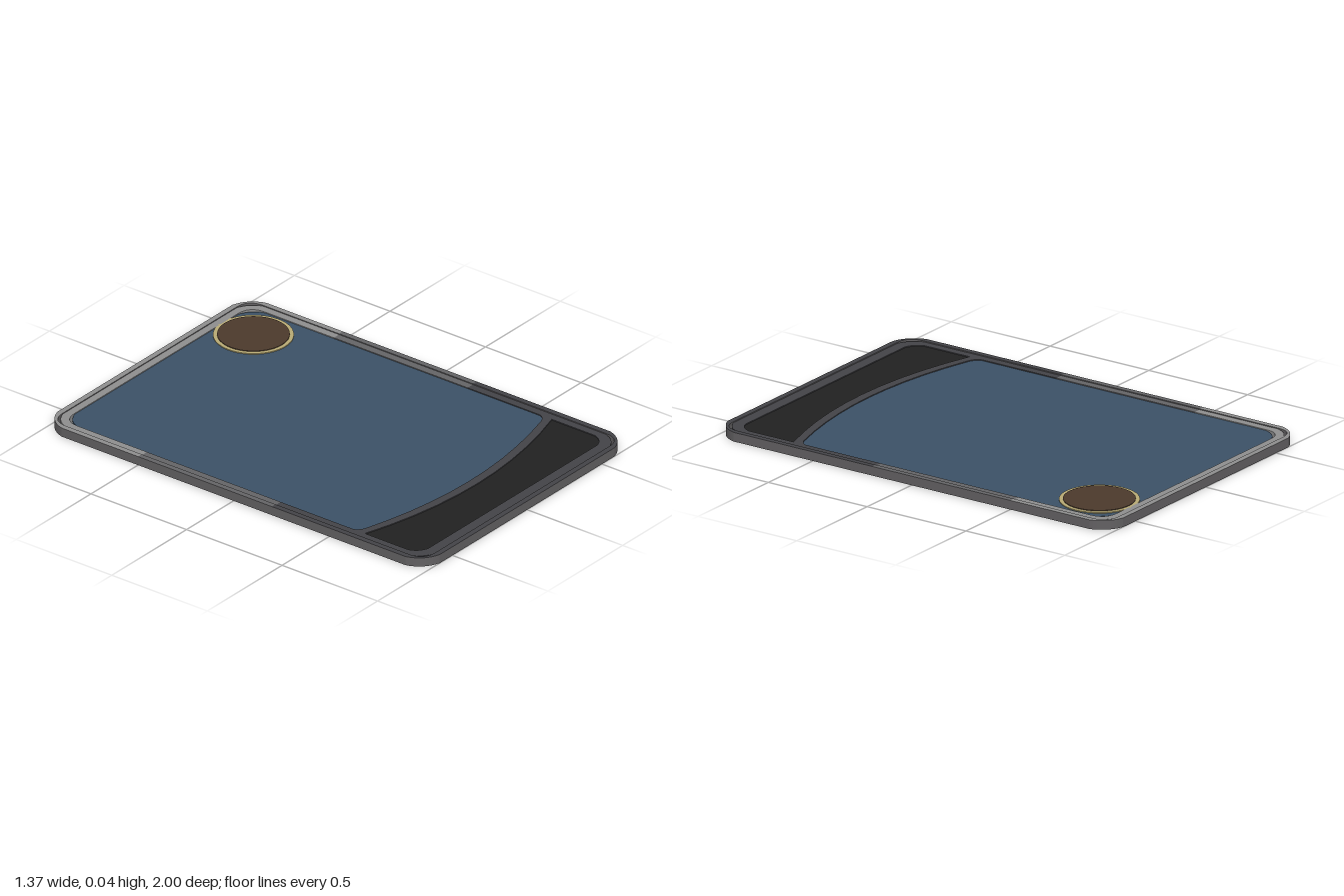
import * as THREE from 'three';

const mat = (name, color) => new THREE.MeshStandardMaterial({ name, color });

export function createModel() {
  const group = new THREE.Group();
  const light = mat('light grey', 0x8e8e8e);
  const mid = mat('mid grey', 0x646466);
  const dark = mat('dark grey', 0x434347);
  const wall = mat('wall grey', 0x626062);
  const blue = mat('slate blue', 0x3c5166);
  const black = mat('black', 0x212121);
  const gold = mat('gold', 0xb8aa74);
  const brown = mat('brown', 0x4b392c);

  // Lays a plan shape (x, -z) flat and gives it a height from y0 to y1
  const slab = (name, shape, y0, y1, material) => {
    const geo = new THREE.ExtrudeGeometry(shape, { depth: y1 - y0, bevelEnabled: false, curveSegments: 10 });
    geo.rotateX(-Math.PI / 2).translate(0, y0, 0);
    const mesh = new THREE.Mesh(geo, material);
    mesh.name = name;
    group.add(mesh);
  };

  // Continues a path around one rounded end, from x = -w to x = w (or back)
  const roundEnd = (p, w, zEnd, r) => {
    const s = Math.sign(zEnd), y = -zEnd;
    p.lineTo(-w, y + s * r);
    p.quadraticCurveTo(-w + r * 0.22, y + s * r * 0.22, -w + r, y);
    p.lineTo(w - r, y);
    p.quadraticCurveTo(w - r * 0.22, y + s * r * 0.22, w, y + s * r);
  };
  const roundEndBack = (p, w, zEnd, r) => roundEnd(p, -w, zEnd, -r) ;

  // U-shaped strip between an outer and an inner rounded end
  const uShape = (zSplit, outer, inner) => {
    const s = Math.sign(outer.z), p = new THREE.Shape();
    p.moveTo(-outer.w, -zSplit);
    roundEnd(p, outer.w, outer.z, outer.r);
    p.lineTo(outer.w, -zSplit);
    p.lineTo(inner.w, -zSplit);
    p.lineTo(inner.w, -inner.z + s * inner.r);
    p.quadraticCurveTo(inner.w, -inner.z, inner.w - inner.r, -inner.z);
    p.lineTo(-inner.w + inner.r, -inner.z);
    p.quadraticCurveTo(-inner.w, -inner.z, -inner.w, -inner.z + s * inner.r);
    p.lineTo(-inner.w, -zSplit);
    return p;
  };

  const W = 0.685, M = 0.66, S = 0.625, H = 0.04;
  const backSplit = -0.5, frontSplit = 0.2;
  const bezelLow = 0.004, bezelHigh = 0.036;

  // Outer rim and inner bezel at the back
  slab('backRim', uShape(backSplit, { w: W, z: -1, r: 0.1 }, { w: M, z: -0.975, r: 0.08 }), 0, H, [light, wall]);
  slab('backBezel', uShape(backSplit, { w: M, z: -0.975, r: 0.08 }, { w: S, z: -0.94, r: 0.08 }), bezelLow, bezelHigh, light);

  // Straight side bars
  const bar = (x0, x1) => new THREE.Shape([
    new THREE.Vector2(x0, -frontSplit), new THREE.Vector2(x1, -frontSplit),
    new THREE.Vector2(x1, -backSplit), new THREE.Vector2(x0, -backSplit)]);
  for (const [side, s] of [['left', 1], ['right', -1]]) {
    slab(side + 'Rim', bar(s * M, s * W), 0, H, [mid, wall]);
    slab(side + 'Bezel', bar(s * S, s * M), bezelLow, bezelHigh, mid);
  }

  // Lower panel outline with a bowed upper edge
  const panelOutline = (Type) => {
    const p = new Type();
    p.moveTo(S, -0.64);
    p.quadraticCurveTo(0, -0.84, -S, -0.64);
    roundEnd(p, S, 0.925, 0.06);
    p.lineTo(S, -0.64);
    return p;
  };

  // Outer rim and inner bezel at the front, with the curved divider
  slab('frontRim', uShape(frontSplit, { w: W, z: 1, r: 0.1 }, { w: M, z: 0.975, r: 0.08 }), 0, H, [dark, wall]);
  const frontBezel = new THREE.Shape();
  frontBezel.moveTo(-M, -frontSplit);
  roundEnd(frontBezel, M, 0.975, 0.08);
  frontBezel.lineTo(M, -frontSplit);
  frontBezel.lineTo(S, -frontSplit);
  frontBezel.lineTo(S, -0.57);
  frontBezel.quadraticCurveTo(S, -0.6, S - 0.04, -0.615);
  frontBezel.quadraticCurveTo(0, -0.785, -S + 0.04, -0.615);
  frontBezel.quadraticCurveTo(-S, -0.6, -S, -0.57);
  frontBezel.lineTo(-S, -frontSplit);
  frontBezel.holes.push(panelOutline(THREE.Path));
  slab('frontBezel', frontBezel, bezelLow, bezelHigh, dark);
  slab('lowerPanel', panelOutline(THREE.Shape), 0.008, 0.032, black);

  // Main blue panel
  const main = new THREE.Shape();
  main.moveTo(-S, -0.57);
  roundEnd(main, S, -0.94, 0.08);
  main.lineTo(S, -0.57);
  main.quadraticCurveTo(S, -0.6, S - 0.04, -0.615);
  main.quadraticCurveTo(0, -0.785, -S + 0.04, -0.615);
  main.quadraticCurveTo(-S, -0.6, -S, -0.57);
  slab('mainPanel', main, 0.008, 0.032, blue);

  // Round badge: gold ring around a brown disc
  for (const [name, r, top, m] of [['badgeRing', 0.167, 0.036, gold], ['badgeDisc', 0.15, 0.039, brown]]) {
    const disc = new THREE.Mesh(new THREE.CylinderGeometry(r, r, 0.006, 48), m);
    disc.position.set(0.445, top - 0.003, -0.78);
    disc.name = name;
    group.add(disc);
  }
  return group;
}
